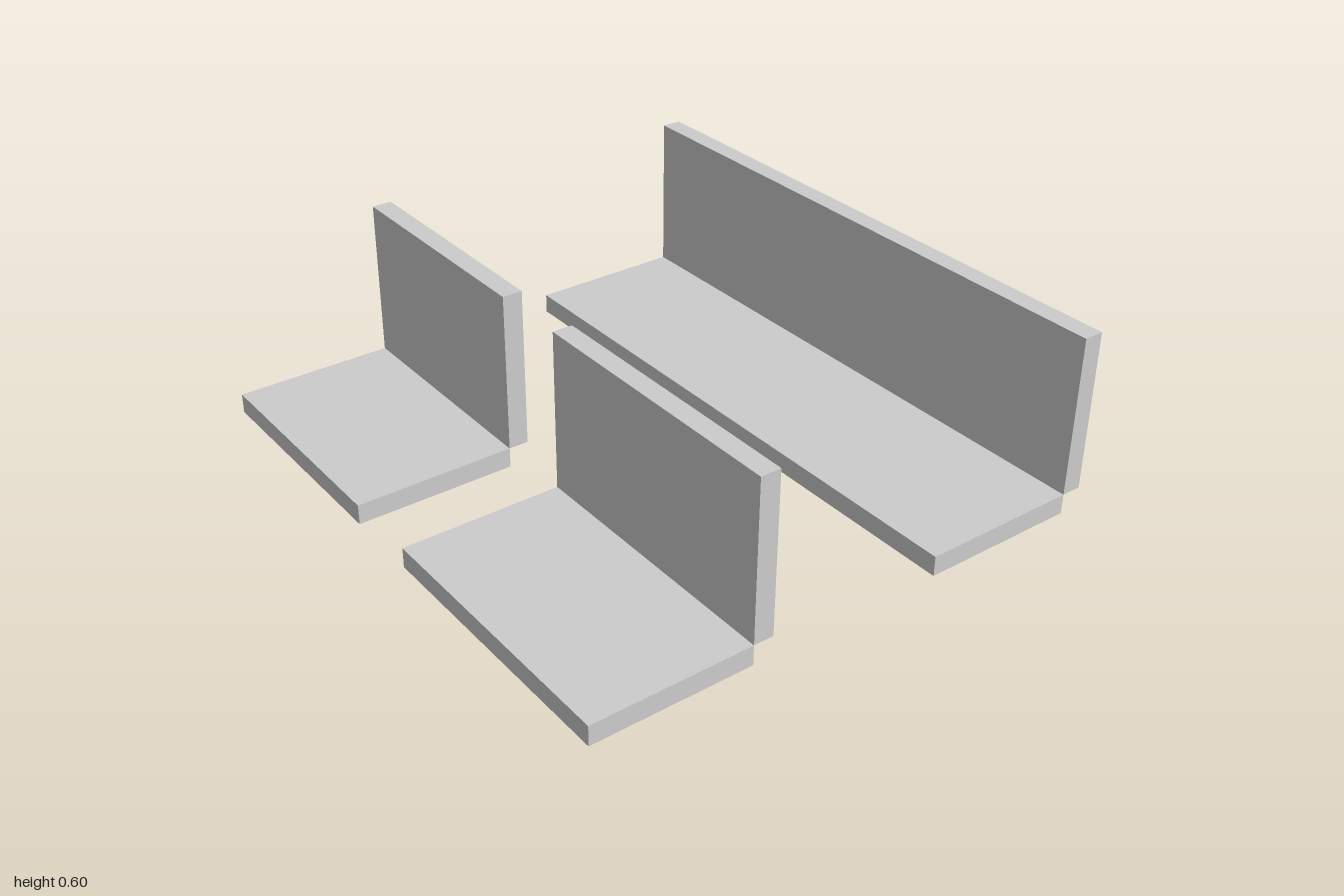
import * as THREE from 'three';

const T = 1 / 15; // board thickness
const WIDTH = 0.6, HEIGHT = 0.6;

const material = new THREE.MeshStandardMaterial({ color: 0xcccccc, flatShading: true });

// Box spanning the given ranges
function board(name, [x0, x1], [y0, y1], [z0, z1]) {
  const mesh = new THREE.Mesh(new THREE.BoxGeometry(x1 - x0, y1 - y0, z1 - z0), material);
  mesh.position.set((x0 + x1) / 2, (y0 + y1) / 2, (z0 + z1) / 2);
  mesh.name = name;
  return mesh;
}

// Bench: flat seat with an upright back meeting it along one edge
function bench(name, x, z) {
  const group = new THREE.Group();
  group.name = name;
  const inner = x + WIDTH - T;
  group.add(
    board('seat', [x, inner], [0, T], z),
    board('backrest', [inner, x + WIDTH], [T, HEIGHT], z)
  );
  return group;
}

export function createModel() {
  const model = new THREE.Group();
  model.name = 'benches';
  model.add(
    bench('longBench', 0.3, [-1, 1]),
    bench('rearShortBench', -0.9, [-1, -0.2]),
    bench('frontShortBench', -0.9, [T, 1])
  );
  return model;
}
